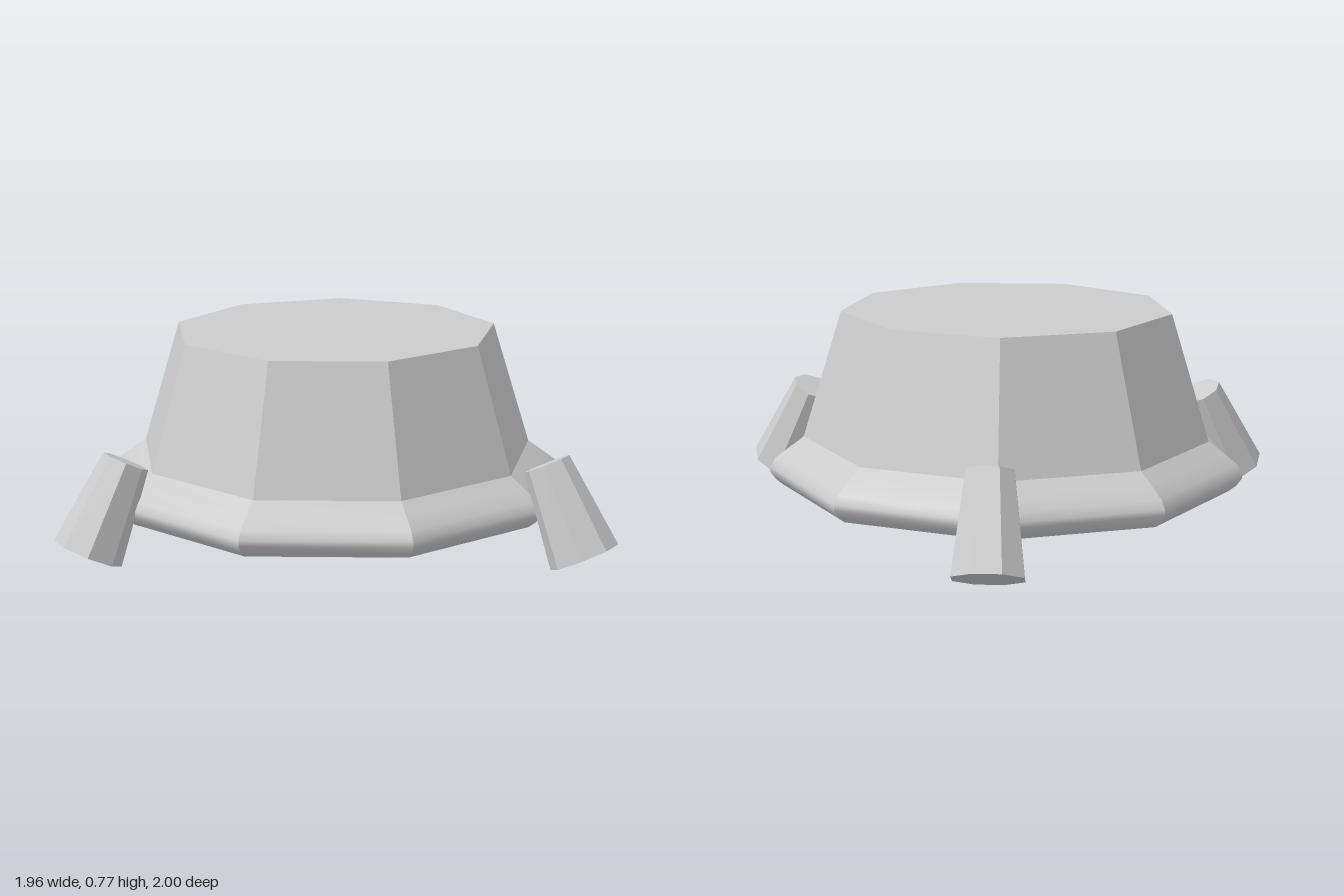
import * as THREE from 'three';
import { mergeGeometries } from 'three/addons/utils/BufferGeometryUtils.js';

const SIDES = 9;
const STEP = (Math.PI * 2) / SIDES;

// Nine panels around y: smooth along the profile, creased at the corners.
function panelRing(profile) {
  const points = profile.map(([r, y]) => new THREE.Vector2(r, y));
  const panels = [];
  for (let i = 0; i < SIDES; i++) {
    const panel = new THREE.LatheGeometry(points, 1, Math.PI / 2 + i * STEP, STEP);
    panel.computeVertexNormals();
    panels.push(panel);
  }
  return mergeGeometries(panels);
}

export function createModel() {
  const model = new THREE.Group();
  const shell = new THREE.MeshStandardMaterial({ color: 0xcccccc, side: THREE.DoubleSide });
  const faceted = new THREE.MeshStandardMaterial({ color: 0xcccccc, flatShading: true });

  // Hollow body, open underneath
  const body = new THREE.Group();
  body.name = 'body';
  body.position.x = -0.17;
  model.add(body);

  const addShell = (name, geometry) => {
    const mesh = new THREE.Mesh(geometry, shell);
    mesh.name = name;
    body.add(mesh);
    return mesh;
  };
  addShell('rim', panelRing([
    [0.82, 0.13], [0.848, 0.152], [0.868, 0.18], [0.868, 0.2],
    [0.85, 0.232], [0.8, 0.27], [0.745, 0.31],
  ]));
  addShell('wall', panelRing([[0.745, 0.31], [0.603, 0.77]]));
  const top = addShell('top', new THREE.CircleGeometry(0.603, SIDES));
  top.rotation.x = -Math.PI / 2;
  top.position.y = 0.77;

  // Three splayed octagonal legs
  const legGeometry = new THREE.CylinderGeometry(0.086, 0.129, 0.356, 8, 1, false, Math.PI / 8);
  for (let i = 0; i < 3; i++) {
    const pivot = new THREE.Group();
    pivot.name = 'leg' + (i + 1);
    pivot.position.x = -0.147;
    pivot.rotation.y = (i * Math.PI * 2) / 3;
    const leg = new THREE.Mesh(legGeometry, faceted);
    leg.name = 'legPost';
    leg.position.set(0.941, 0.215, 0);
    leg.rotation.z = 0.451;
    pivot.add(leg);
    model.add(pivot);
  }
  return model;
}
